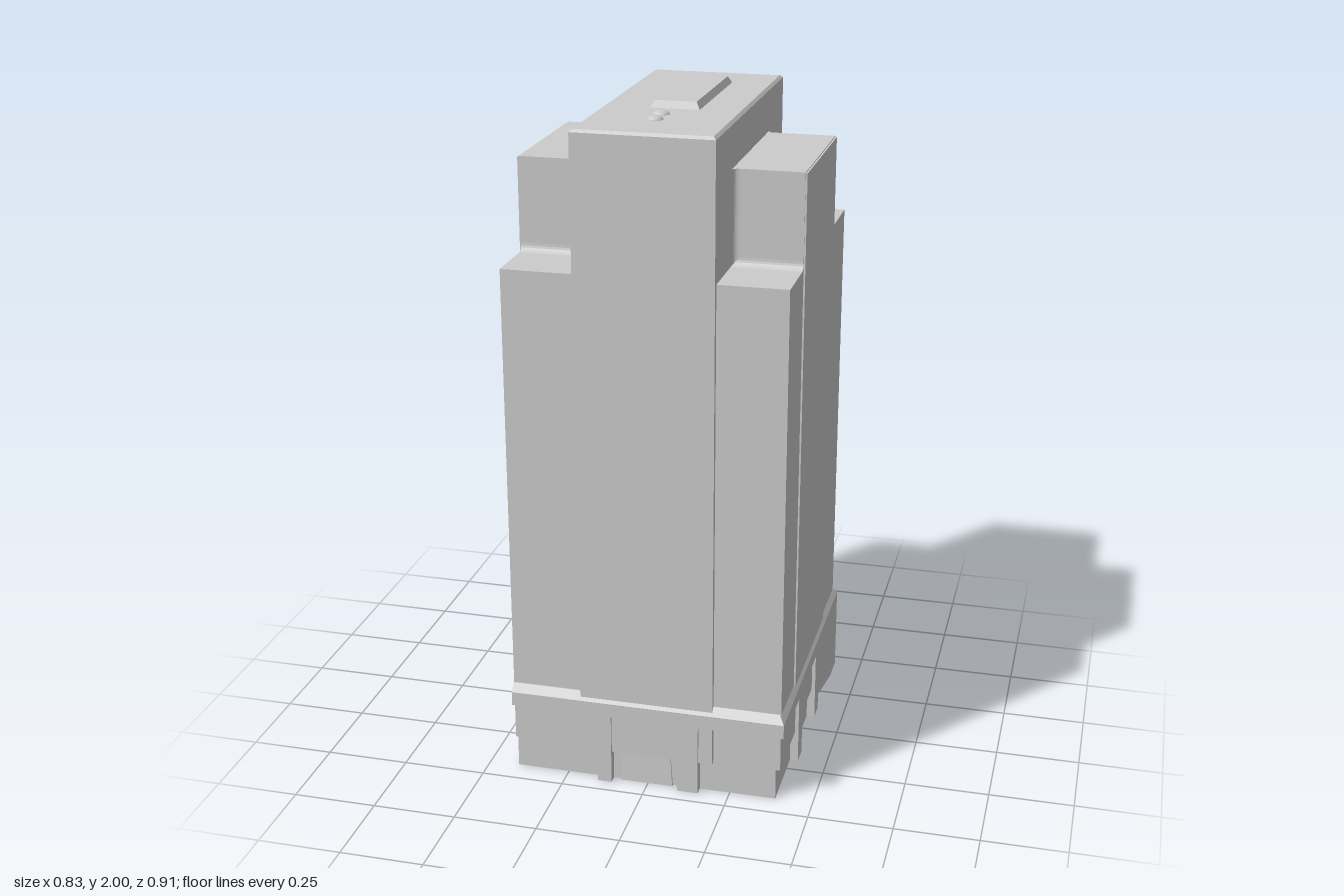
import * as THREE from 'three';

const material = new THREE.MeshStandardMaterial({ color: 0xcccccc });

export function createModel() {
  const group = new THREE.Group();

  const add = (name, geometry) => {
    geometry.computeVertexNormals();
    const mesh = new THREE.Mesh(geometry, material);
    mesh.name = name;
    group.add(mesh);
    return mesh;
  };

  // Box from ranges; inset = [left, right, back, front] slopes the top inwards
  const block = (name, [x0, x1], [y0, y1], [z0, z1], inset = [0, 0, 0, 0]) => {
    const g = new THREE.BoxGeometry(1, 1, 1);
    const p = g.attributes.position;
    for (let i = 0; i < p.count; i++) {
      const k = p.getY(i) > 0 ? 1 : 0;
      p.setXYZ(i,
        p.getX(i) < 0 ? x0 + k * inset[0] : x1 - k * inset[1],
        k ? y1 : y0,
        p.getZ(i) < 0 ? z0 + k * inset[2] : z1 - k * inset[3]);
    }
    return add(name, g);
  };

  const extrude = (shape, depth) =>
    new THREE.ExtrudeGeometry(shape, { depth, bevelEnabled: false, curveSegments: 6 });

  // Plan outline (x, z) raised between two heights
  const plan = (name, shape, y0, y1) =>
    add(name, extrude(shape, y1 - y0).rotateX(Math.PI / 2).translate(0, y1, 0));

  // Stepped side wings: low shoulders, tall middle, coved inner corners
  const profile = new THREE.Shape();
  const shoulder = 1.575, top = 1.85, r = 0.025;
  profile.moveTo(-0.44, 0.1);
  profile.lineTo(0.43, 0.1);
  profile.lineTo(0.43, shoulder);
  profile.lineTo(0.24 + r, shoulder);
  profile.quadraticCurveTo(0.24, shoulder, 0.24, shoulder + r);
  profile.lineTo(0.24, top);
  profile.lineTo(-0.23, top);
  profile.lineTo(-0.23, shoulder + r);
  profile.quadraticCurveTo(-0.23, shoulder, -0.23 - r, shoulder);
  profile.lineTo(-0.44, shoulder);
  profile.closePath();
  const wing = (name, x0, x1) =>
    add(name, extrude(profile, x1 - x0).rotateY(-Math.PI / 2).translate(x1, 0, 0));
  wing('rightWing', -0.415, -0.1);
  wing('leftWing', 0.1, 0.402);
  block('rightWingPilaster', [-0.42, -0.3], [0.2, top - 0.003], [-0.228, 0.238]);
  block('leftWingPilaster', [0.3, 0.407], [0.2, top - 0.003], [-0.228, 0.238]);

  // Central tower running front to back
  block('tower', [-0.203, 0.2], [0.1, 1.972], [-0.45, 0.446]);
  block('towerRoof', [-0.203, 0.2], [1.972, 1.98], [-0.45, 0.446], [0.008, 0.008, 0.012, 0.008]);

  // Coves where the tall wing middles meet the tower
  for (const sx of [-1, 1]) for (const [z, sz] of [[0.24, 1], [-0.23, -1]]) {
    const x = sx * 0.2, c = 0.022;
    const cove = new THREE.Shape();
    cove.moveTo(x, z);
    cove.lineTo(x, z + sz * c);
    cove.quadraticCurveTo(x, z, x + sx * c, z);
    cove.closePath();
    plan('wingCove', cove, shoulder, top);
  }

  // Rooftop plant housing and two small vents
  block('roofHousing', [-0.068, 0.08], [1.975, 2], [-0.295, 0.122], [0.014, 0.014, 0.014, 0.014]);
  for (const z of [0.195, 0.265]) {
    const vent = add('roofVent', new THREE.SphereGeometry(0.025, 12, 8));
    vent.scale.y = 0.5;
    vent.position.set(-0.013, 1.978, z);
  }

  // Base core; the left wall tapers out to meet the full depth at the back
  plan('baseCore', new THREE.Shape([
    [-0.41, -0.455], [0.415, -0.455], [0.415, -0.36],
    [0.388, -0.15], [0.388, 0.425], [-0.41, 0.425],
  ].map(([x, z]) => new THREE.Vector2(x, z))), 0, 0.24);

  // Cornice band with a sloped upper edge
  block('cornice', [-0.415, 0.415], [0.222, 0.265], [-0.455, 0.455]);
  block('corniceSlope', [-0.415, 0.415], [0.265, 0.287], [-0.455, 0.455], [0, 0.016, 0.018, 0.022]);

  // Entrance piers on the front and on the left side
  for (const [a, b] of [[-0.15, -0.108], [0.095, 0.158]])
    block('frontPier', [a, b], [0, 0.24], [0.38, 0.453]);
  for (const [a, b] of [[0.14, 0.2], [-0.14, -0.08]])
    block('sidePier', [0.35, 0.413], [0, 0.24], [a, b]);

  // Slightly raised doorway between the front piers
  block('doorway', [-0.085, 0.075], [0, 0.14], [0.4, 0.433], [0.01, 0.01, 0, 0.006]);

  return group;
}
